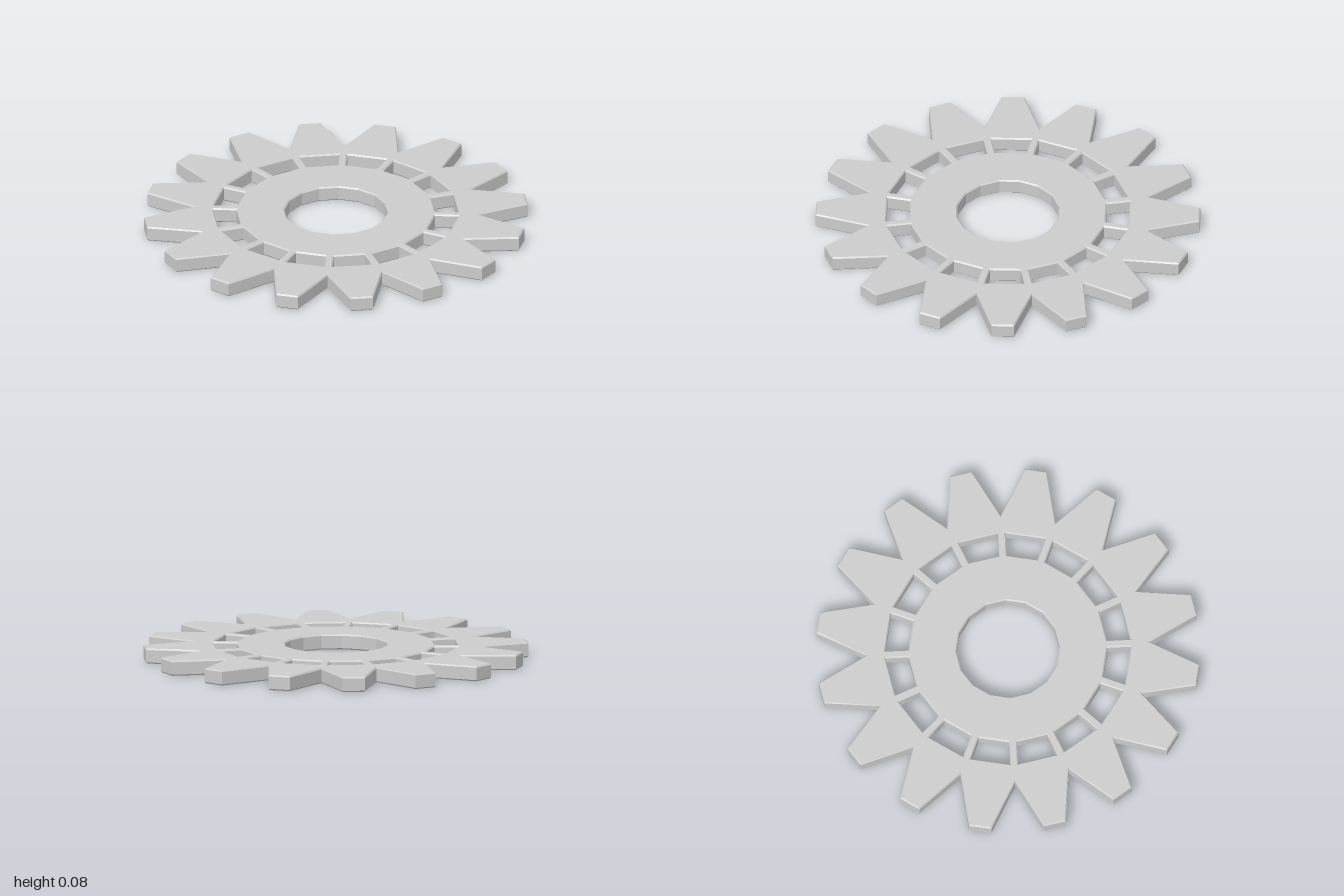
import * as THREE from 'three';

const TEETH = 16, STEP = (Math.PI * 2) / TEETH;
const HEIGHT = 0.08, BEVEL = 0.007;

// point at radius r and angle a, shifted sideways by s
const polar = (r, a, s = 0) => new THREE.Vector2(
  r * Math.cos(a) - s * Math.sin(a),
  r * Math.sin(a) + s * Math.cos(a));

export function createModel() {
  const group = new THREE.Group();
  group.name = 'gear';

  const outline = [], bore = [], windows = [];
  const tipHalf = 0.059; // half angle of a tooth tip
  for (let i = 0; i < TEETH; i++) {
    const a = i * STEP, mid = a + STEP / 2, next = a + STEP;
    // one valley and the two tip corners of a tooth
    outline.push(polar(0.743, a), polar(1.007, mid - tipHalf), polar(1.007, mid + tipHalf));
    bore.push(polar(0.27, a));
    // window between two parallel-sided spokes
    windows.push(new THREE.Path([
      polar(0.52, a, 0.021), polar(0.643, a, 0.021),
      polar(0.643, next, -0.021), polar(0.52, next, -0.021),
    ]));
  }
  const shape = new THREE.Shape(outline);
  shape.holes.push(new THREE.Path(bore), ...windows);

  // flat plate with finely chamfered edges, laid down on the ground
  const geometry = new THREE.ExtrudeGeometry(shape, {
    depth: HEIGHT - 2 * BEVEL,
    bevelEnabled: true,
    bevelThickness: BEVEL,
    bevelSize: BEVEL,
    bevelOffset: -BEVEL,
    bevelSegments: 1,
  });
  geometry.rotateX(-Math.PI / 2);
  geometry.translate(0, BEVEL, 0);

  const plate = new THREE.Mesh(geometry,
    new THREE.MeshStandardMaterial({ color: 0xcccccc, flatShading: true }));
  plate.name = 'toothedPlate';
  group.add(plate);
  return group;
}
